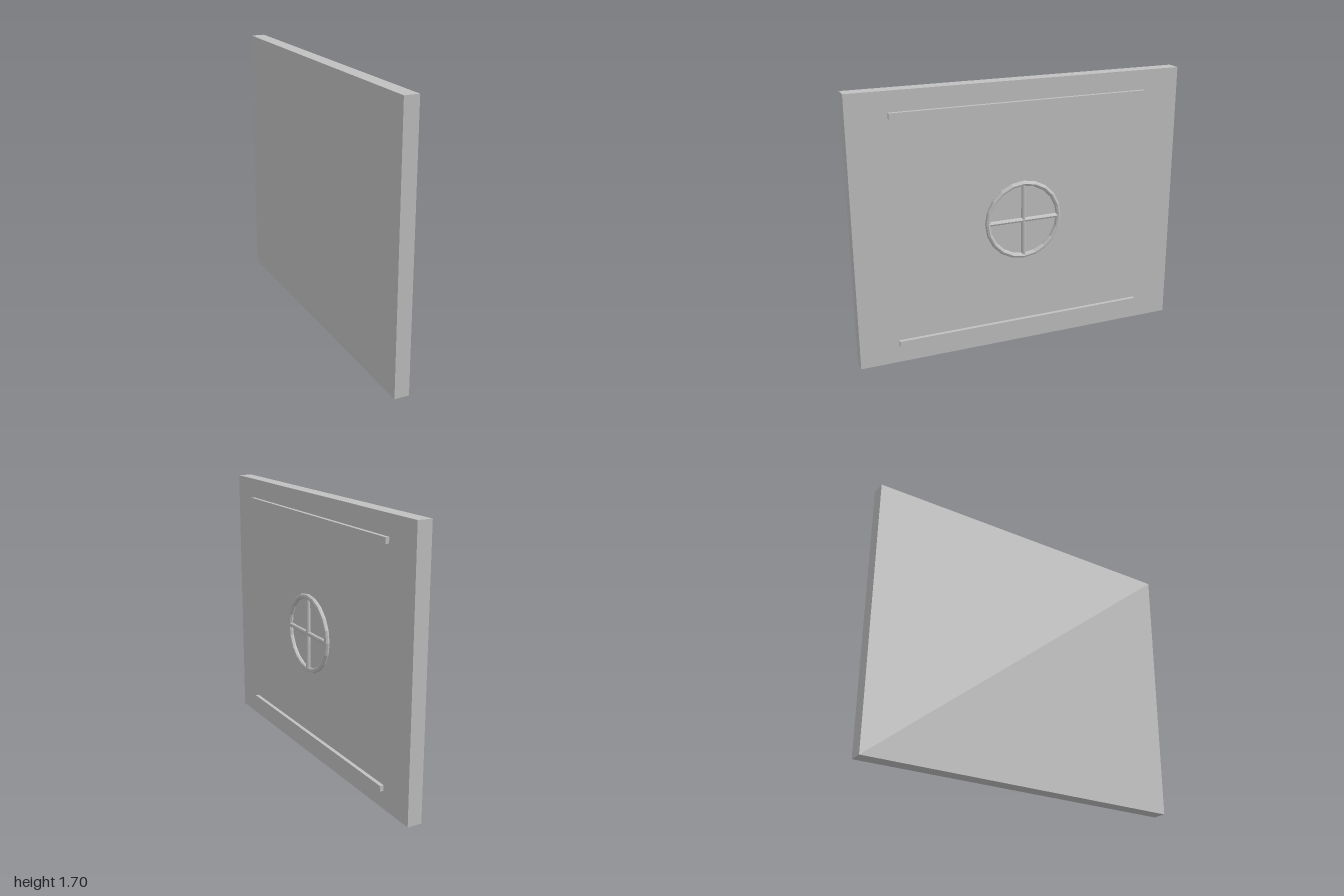
import * as THREE from 'three';

export function createModel() {
  const grey = new THREE.MeshStandardMaterial({ color: 0xc0c0c0, flatShading: true });
  grey.name = 'plain grey';

  const model = new THREE.Group();
  model.name = 'hatchDoor';
  // The door stands turned about y; its local +z is the face with the wheel
  const door = new THREE.Group();
  door.name = 'door';
  door.rotation.y = Math.atan2(0.9245, -0.381);
  model.add(door);

  const add = (parent, name, geometry, x = 0, y = 0, z = 0) => {
    const mesh = new THREE.Mesh(geometry, grey);
    mesh.name = name;
    mesh.position.set(x, y, z);
    parent.add(mesh);
    return mesh;
  };

  // Slab
  add(door, 'slab', new THREE.BoxGeometry(2.125, 1.7, 0.092), 0, 0.85, 0);

  // Two raised rails near the top and bottom edges
  for (const [name, y] of [['topRail', 1.558], ['bottomRail', 0.131]]) {
    add(door, name, new THREE.BoxGeometry(1.634, 0.036, 0.028), 0, y, 0.056);
  }

  // Handwheel: faceted rim with crossed spokes
  const wheel = new THREE.Group();
  wheel.name = 'handwheel';
  wheel.position.set(-0.006, 0.836, 0.081);
  door.add(wheel);
  add(wheel, 'rim', new THREE.TorusGeometry(0.236, 0.0165, 8, 20));
  for (const [name, turn] of [['verticalSpoke', 0], ['horizontalSpoke', Math.PI / 2]]) {
    const spoke = add(wheel, name, new THREE.CylinderGeometry(0.0145, 0.0145, 0.47, 8));
    spoke.rotation.z = turn;
  }
  return model;
}
